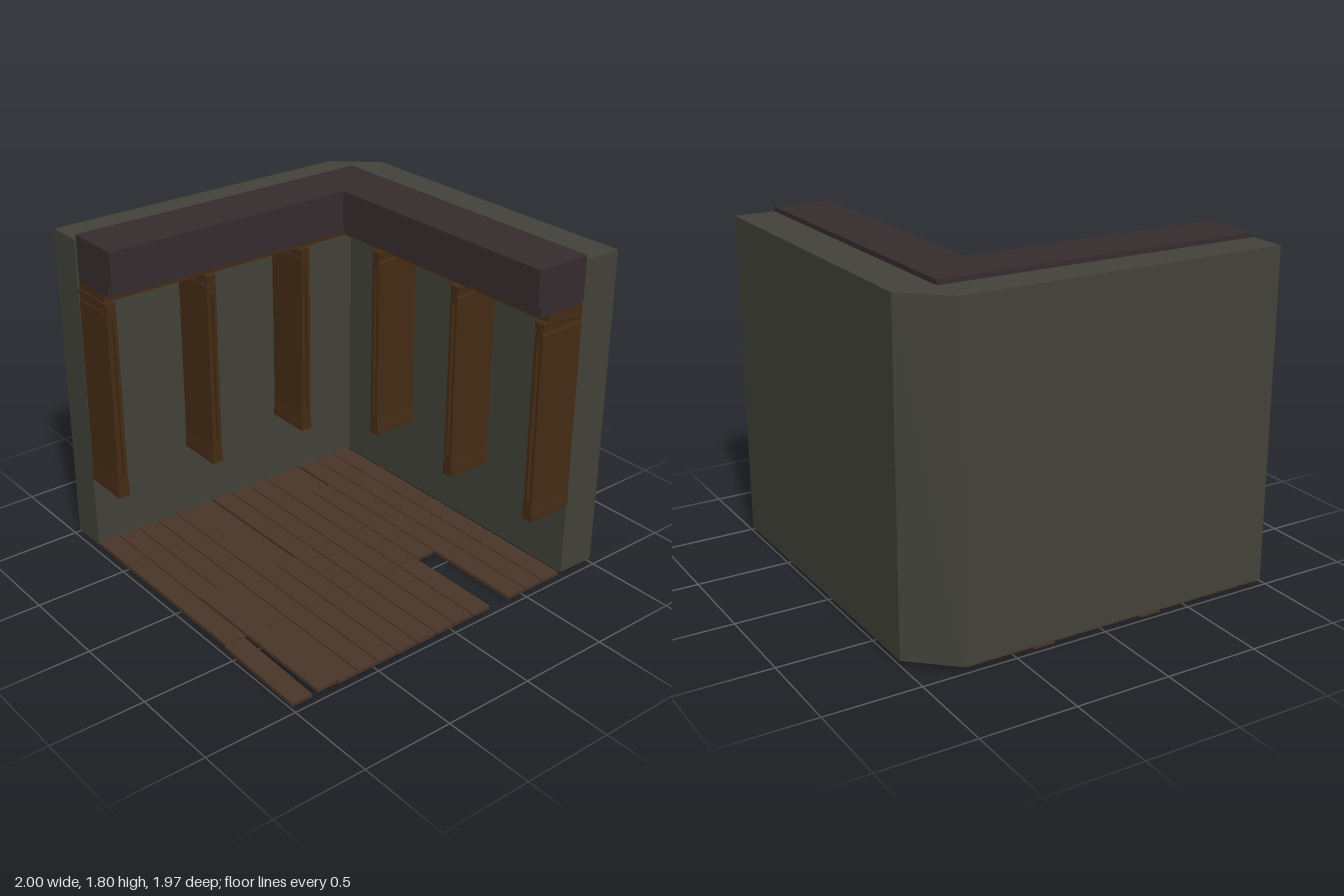
import * as THREE from 'three';

const material = (color) => new THREE.MeshStandardMaterial({ color, flatShading: true });
const stone = material(0x42423a);
const darkTrim = material(0x352c2e);
const wood = material(0x452c16);
const plankWood = material(0x4a3529);

function addMesh(parent, name, geometry, mat) {
  const mesh = new THREE.Mesh(geometry, mat);
  mesh.name = name;
  parent.add(mesh);
  return mesh;
}

function shapeFrom(points) {
  return new THREE.Shape(points.map(([x, y]) => new THREE.Vector2(x, y)));
}

// Extrudes a plan outline, given as [x, z], from y0 up to y1
function planSlab(points, y0, y1) {
  const shape = shapeFrom(points.map(([x, z]) => [x, -z]));
  const geometry = new THREE.ExtrudeGeometry(shape, { depth: y1 - y0, bevelEnabled: false });
  return geometry.rotateX(-Math.PI / 2).translate(0, y0, 0);
}

// L-shaped cornice layer reaching the given depth out from both walls
function corniceLayer(depth, y0, y1) {
  const x = 0.78 - depth, z = -0.78 + depth;
  return planSlab([
    [-0.97, -0.78], [0.78, -0.78], [0.78, 0.975],
    [x, 0.975], [x, z], [-0.97, z],
  ], y0, y1);
}

// Front outline of a pilaster: flared foot, shaft, neck and cap
function pilasterOutline(scale = 1) {
  const half = [
    [0.034, 0.435], [0.034, 0.46], [0.028, 0.54], [0.027, 1.46],
    [0.023, 1.47], [0.023, 1.495], [0.029, 1.5], [0.029, 1.52],
  ].map(([x, y]) => [x * scale, y]);
  return shapeFrom([...half, ...half.map(([x, y]) => [-x, y]).reverse()]);
}

function createPilaster() {
  const group = new THREE.Group();
  group.name = 'pilaster';

  // Deep body against the wall
  addMesh(group, 'pilasterBody',
    new THREE.ExtrudeGeometry(pilasterOutline(0.9), { depth: 0.225, bevelEnabled: false }), wood);

  // Front post with a sunken vertical groove
  const back = new THREE.ExtrudeGeometry(pilasterOutline(), { depth: 0.025, bevelEnabled: false });
  addMesh(group, 'pilasterPost', back.translate(0, 0, 0.225), wood);
  const face = pilasterOutline();
  face.holes.push(new THREE.Path([
    new THREE.Vector2(-0.008, 0.55), new THREE.Vector2(-0.008, 1.42),
    new THREE.Vector2(0.008, 1.42), new THREE.Vector2(0.008, 0.55),
  ]));
  const front = new THREE.ExtrudeGeometry(face, { depth: 0.018, bevelEnabled: false });
  addMesh(group, 'pilasterFace', front.translate(0, 0, 0.25), wood);
  return group;
}

function createFloor() {
  const floor = new THREE.Group();
  floor.name = 'floor';
  const width = 0.1243, gap = 0.007;
  // Staggered end joints for each row of planks, left to right
  const joints = [
    [-0.5, 0.41], [-0.01], [-0.5, 0.41], [-0.2], [-0.5, 0.41], [-0.01], [0.2],
    [-0.01], [-0.5, 0.41], [-0.01], [-0.5, 0.41], [-0.01], [-0.5, 0.41], [-0.01],
  ];
  joints.forEach((cuts, row) => {
    const ends = [-0.973, ...cuts, 0.973];
    for (let i = 0; i < ends.length - 1; i++) {
      const last = i === ends.length - 2;
      if (row === 10 && last) continue; // missing plank
      const length = ends[i + 1] - ends[i] - gap;
      const plank = addMesh(floor, 'plank', new THREE.BoxGeometry(width - gap, 0.02, length), plankWood);
      plank.position.set(-0.975 + (row + 0.5) * width, 0.021, (ends[i] + ends[i + 1]) / 2);
      // Sunken, raised and slipped planks
      if ((row === 5 || row === 10) && i === 0) plank.position.y = 0.01;
      if (row === 1 && last) plank.position.y = 0.03;
      if (row === 0 && last) {
        plank.position.x = -0.931;
        plank.rotation.y = -0.025;
      }
    }
  });
  return floor;
}

export function createModel() {
  const model = new THREE.Group();
  model.name = 'roomCorner';

  // Two thick walls with a chamfered outer corner
  addMesh(model, 'walls', planSlab([
    [-0.98, -0.98], [0.78, -0.98], [1, -0.78], [1, 0.975],
    [0.775, 0.975], [0.775, -0.78], [-0.98, -0.78],
  ], 0.025, 1.78), stone);

  // Stepped cornice
  addMesh(model, 'corniceTop', corniceLayer(0.315, 1.61, 1.805), darkTrim);
  addMesh(model, 'corniceStep', corniceLayer(0.285, 1.56, 1.61), darkTrim);
  addMesh(model, 'corniceRail', corniceLayer(0.235, 1.52, 1.56), wood);

  // Matching pilasters on both walls
  for (const offset of [-0.952, -0.362, 0.245]) {
    const backPilaster = createPilaster();
    backPilaster.position.set(offset, 0, -0.782);
    const sidePilaster = createPilaster();
    sidePilaster.rotation.y = -Math.PI / 2;
    sidePilaster.position.set(0.777, 0, -offset);
    model.add(backPilaster, sidePilaster);
  }

  model.add(createFloor());
  return model;
}
